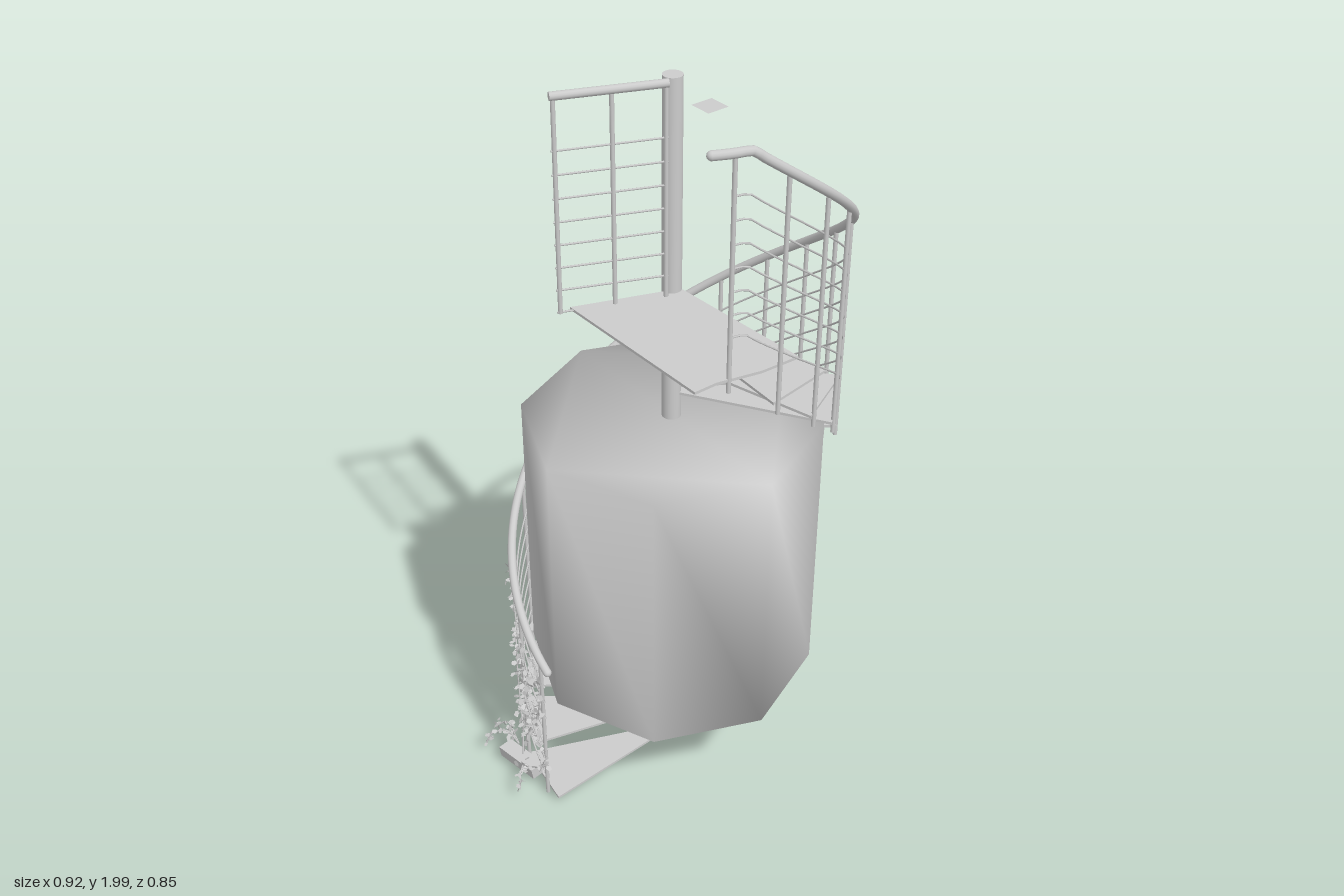
import * as THREE from 'three';
import { mergeVertices, mergeGeometries } from 'three/addons/utils/BufferGeometryUtils.js';

const CX = 0.028, CZ = -0.004;           // stair axis
const RISE = 0.0945, TURN = 18, STEPS = 15;
const FIRST_ANGLE = -184, FIRST_Y = 0.025, PLATFORM_Y = 1.443;
const RAIL_TOP = 1.982;

const V = (x, y, z) => new THREE.Vector3(x, y, z);
// point at an angle (degrees, +x towards +z) around the stair axis
const polar = (deg, r, y) => {
  const a = deg * Math.PI / 180;
  return V(CX + r * Math.cos(a), y, CZ + r * Math.sin(a));
};
// handrail height, levelling out at the platform
const railY = deg => Math.min(1.425 + RISE / TURN * deg, RAIL_TOP);

export function createModel() {
  const model = new THREE.Group();
  const grey = new THREE.MeshStandardMaterial({ color: 0xcccccc });
  const thin = new THREE.MeshStandardMaterial({ color: 0xcccccc, side: THREE.DoubleSide });

  const add = (name, geometry, material = grey, parent = model) => {
    const mesh = new THREE.Mesh(geometry, material);
    mesh.name = name;
    parent.add(mesh);
    return mesh;
  };
  const section = name => {
    const g = new THREE.Group();
    g.name = name;
    model.add(g);
    return g;
  };
  // straight round bar between two points
  const rod = (name, a, b, r, parent, sides = 10) => {
    const mesh = add(name, new THREE.CylinderGeometry(r, r, a.distanceTo(b), sides), grey, parent);
    mesh.position.copy(a).lerp(b, 0.5);
    mesh.quaternion.setFromUnitVectors(V(0, 1, 0), b.clone().sub(a).normalize());
    return mesh;
  };
  // horizontal plate from [x, z] corners
  const plate = (corners, top, thickness) => {
    const shape = new THREE.Shape(corners.map(([x, z]) => new THREE.Vector2(x, z)));
    return new THREE.ExtrudeGeometry(shape, { depth: thickness, bevelEnabled: false })
      .rotateX(Math.PI / 2).translate(0, top, 0);
  };
  const corner = (deg, r) => { const p = polar(deg, r, 0); return [p.x, p.z]; };
  // bar following the stair, below the handrail by drop
  const helix = (from, to, r, drop, tube, sides) => {
    const points = [];
    for (let d = from; d <= to; d += 4) points.push(polar(d, r, railY(d) - drop));
    return new THREE.TubeGeometry(new THREE.CatmullRomCurve3(points), points.length * 2, tube, sides);
  };

  // central pole
  rod('centralPole', V(CX, 0, CZ), V(CX, 1.98, CZ), 0.024, model, 32);

  // eight-sided drum with softly blended normals
  const octagon = [...Array(8).keys()].map(i => corner(i * 45, 0.377));
  let drum = plate(octagon, 1.085, 0.755);
  drum.deleteAttribute('uv');
  drum.deleteAttribute('normal');
  drum = mergeVertices(drum);
  drum.computeVertexNormals();
  add('drum', drum);

  // wedge treads, each overlapping the next
  const treads = section('treads');
  for (let i = 0; i < STEPS; i++) {
    const a = FIRST_ANGLE + i * TURN, b = a + 27;
    add('tread', plate([corner(a - 15, 0.024), corner(a, 0.408), corner(b, 0.408), corner(b + 15, 0.024)],
      FIRST_Y + i * RISE, 0.007), grey, treads);
  }

  // landing
  add('platform', plate([[0.045, 0.015], [0.062, 0.402], [-0.04, 0.397], [-0.15, 0.372],
    [-0.21, 0.372], [-0.21, -0.083], [0.02, 0.0]], PLATFORM_Y, 0.007));

  // spiral railing: handrail, thin bars and balusters
  const spiral = section('spiralRailing');
  add('handrail', helix(-182, 118, 0.414, 0, 0.011, 12), grey, spiral);
  for (const deg of [-182, 118]) {
    const cap = add('handrailEnd', new THREE.SphereGeometry(0.011, 12, 8), grey, spiral);
    cap.position.copy(polar(deg, 0.414, railY(deg)));
  }
  for (let i = 0; i < 7; i++)
    add('spiralBar', helix(-178, 110, 0.406, 0.1 + i * 0.056, 0.0025, 5), grey, spiral);
  for (let i = 0; i <= STEPS + 1; i++) {
    const deg = FIRST_ANGLE + 7 + i * TURN;
    const foot = Math.max(0.005, FIRST_Y + (i - 1) * RISE - 0.036);
    rod('baluster', polar(deg, 0.407, foot), polar(deg, 0.411, railY(deg)), 0.0055, spiral, 8);
  }

  // straight railing on the landing
  const straight = section('landingRailing');
  const along = (t, y) => V(-0.245 * t, y, 0.017 - 0.103 * t);
  rod('topRail', along(0, 1.974), along(1, 1.974), 0.01, straight, 12);
  for (const t of [0.02, 0.48, 0.97]) rod('post', along(t, 1.437), along(t, 1.974), 0.0055, straight, 8);
  for (let i = 0; i < 8; i++) rod('crossBar', along(0, 1.44 + i * 0.058), along(1, 1.44 + i * 0.058), 0.0028, straight, 6);

  // small square panel above the landing
  add('squarePanel', new THREE.PlaneGeometry(0.056, 0.056).rotateX(-Math.PI / 2), thin).position.set(0, 1.97, 0.157);

  // planter at the foot of the stair
  const planter = section('planter');
  planter.position.set(-0.386, 0.022, -0.14);
  planter.rotation.y = 0.14;
  const trough = new THREE.Shape([[-0.016, 0], [0.016, 0], [0.022, 0.036], [-0.022, 0.036]].map(p => new THREE.Vector2(...p)));
  add('trough', new THREE.ExtrudeGeometry(trough, { depth: 0.13, bevelEnabled: false }).translate(0, 0, -0.065), grey, planter);

  // climbing plant: stems given as [angle, radius, height]
  const ivy = section('climbingPlant');
  const stems = [
    [[-160, 0.425, 0.05], [-165, 0.418, 0.16], [-173, 0.415, 0.26], [-177, 0.418, 0.38], [-172, 0.418, 0.5]],
    [[-158, 0.425, 0.05], [-160, 0.416, 0.2], [-166, 0.416, 0.33], [-160, 0.42, 0.46], [-153, 0.418, 0.58], [-145, 0.416, 0.66]],
    [[-162, 0.43, 0.05], [-158, 0.42, 0.13], [-153, 0.418, 0.22], [-150, 0.418, 0.32], [-143, 0.416, 0.42]],
    [[-168, 0.425, 0.05], [-178, 0.416, 0.12], [-170, 0.416, 0.22], [-163, 0.418, 0.3], [-170, 0.42, 0.42]],
    [[-155, 0.43, 0.05], [-153, 0.46, 0.09], [-152, 0.5, 0.08], [-152, 0.52, 0.04]],
    [[-155, 0.43, 0.05], [-150, 0.455, 0.1], [-148, 0.49, 0.07]],
    [[-166, 0.43, 0.05], [-170, 0.455, 0.08], [-173, 0.475, 0.06], [-174, 0.48, 0.035]],
  ];
  let seed = 7;
  const rand = () => (seed = (seed * 16807) % 2147483647) / 2147483647;
  const leaves = [];
  const leafAt = p => {
    const s = 0.006 + rand() * 0.005;
    const leaf = new THREE.CircleGeometry(s, 5).scale(0.75, 1, 1).translate(0, s, 0);
    leaf.rotateX(rand() * 6).rotateY(rand() * 6).rotateZ(rand() * 6);
    leaves.push(leaf.translate(p.x, p.y, p.z));
  };
  for (const stem of stems) {
    const curve = new THREE.CatmullRomCurve3(stem.map(p => polar(...p)));
    add('stem', new THREE.TubeGeometry(curve, 24, 0.0022, 5), grey, ivy);
    const count = Math.round(curve.getLength() * 85);
    for (let i = 0; i < count; i++) {
      const p = curve.getPointAt(0.15 + 0.85 * (i + rand()) / (count + 1));
      leafAt(p);
      leafAt(p.clone().add(V(rand() - 0.5, rand() - 0.5, rand() - 0.5).multiplyScalar(0.025)));
    }
  }
  add('leaves', mergeGeometries(leaves), thin, ivy);

  return model;
}
